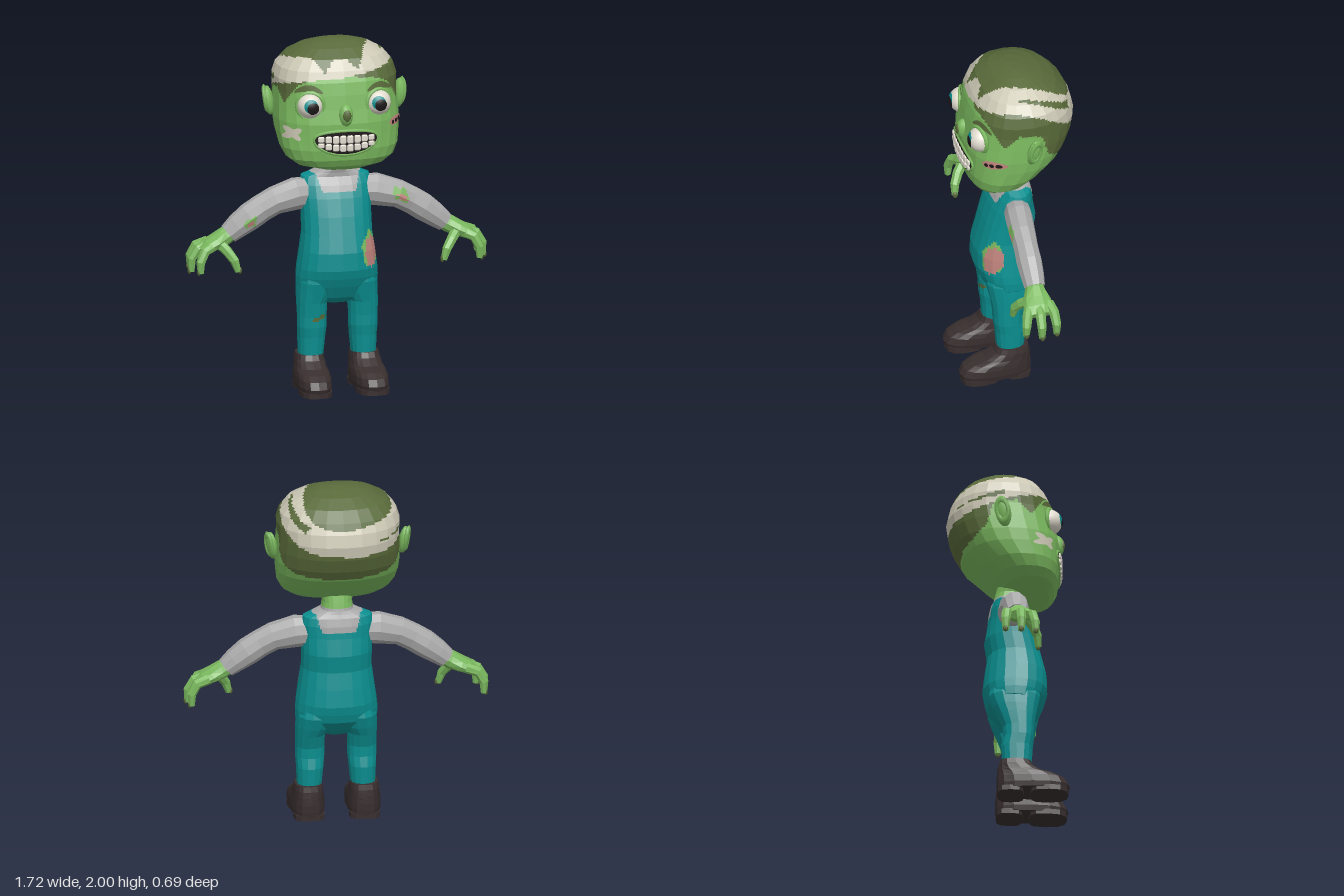
import * as THREE from 'three';
import { RoundedBoxGeometry } from 'three/addons/geometries/RoundedBoxGeometry.js';

const V = (x, y, z) => new THREE.Vector3(x, y, z);
const colours = {
  skin: 0x7ab85e, denim: 0x0b8f90, shirt: 0xa9a9aa, leather: 0x382e2e, hair: 0x596a3a,
  bandage: 0xcdc9b6, ivory: 0xe2ddd0, black: 0x1d1718, wound: 0xc0837c,
};

// Linear lookup in a table of [key, value, ...] rows with ascending keys
function lookup(table, key, col = 1) {
  let i = 0;
  while (i < table.length - 2 && key > table[i + 1][0]) i++;
  const [a, b] = [table[i], table[i + 1]];
  const f = THREE.MathUtils.clamp((key - a[0]) / (b[0] - a[0]), 0, 1);
  return a[col] + (b[col] - a[col]) * f;
}

// Horizontal ring with its own roundness at the front and at the back
function oval(y, hw, back, front, cx = 0, n = 20, ef = 2.4, eb = 2.2) {
  const pow = (v, e) => Math.sign(v) * Math.abs(v) ** (2 / e);
  return Array.from({ length: n }, (_, i) => {
    const a = i / n * Math.PI * 2, e = Math.sin(a) > 0 ? ef : eb;
    return V(cx + hw * pow(Math.cos(a), e), y,
      (front + back) / 2 + (front - back) / 2 * pow(Math.sin(a), e));
  });
}

// Rings along a limb; each row is x, y, z, radius along z, radius across
function limbRings(path, n) {
  const pts = path.map(p => V(p[0], p[1], p[2]));
  return pts.map((p, i) => {
    const t = pts[Math.min(i + 1, pts.length - 1)].clone().sub(pts[Math.max(i - 1, 0)]).normalize();
    const u = V(0, 0, 1).addScaledVector(t, -t.z).normalize();
    const v = u.clone().cross(t);
    return Array.from({ length: n }, (_, k) => {
      const a = k / n * Math.PI * 2;
      return p.clone().addScaledVector(u, Math.cos(a) * path[i][3])
        .addScaledVector(v, Math.sin(a) * path[i][4]);
    });
  });
}

// Faceted skin over rings; pick chooses the material index for each small face
function loft(name, source, mats, pick = () => 0, sub = 1) {
  const cap = r => {
    const c = r.reduce((s, p) => s.add(p), V(0, 0, 0)).divideScalar(r.length);
    return r.map(() => c.clone());
  };
  const rings = [cap(source[0]), ...source, cap(source[source.length - 1])];
  const n = rings[0].length, cols = n * sub, rows = (rings.length - 1) * sub;
  const verts = [], buckets = mats.map(() => []);
  for (let i = 0; i <= rows; i++) for (let j = 0; j < cols; j++) {
    const r = Math.min(Math.floor(i / sub), rings.length - 2), f = i / sub - r;
    const k = Math.floor(j / sub), g = j / sub - k, k2 = (k + 1) % n;
    const lower = rings[r][k].clone().lerp(rings[r][k2], g);
    verts.push(lower.lerp(rings[r + 1][k].clone().lerp(rings[r + 1][k2], g), f));
  }
  for (let i = 0; i < rows; i++) for (let j = 0; j < cols; j++) {
    const a = i * cols + j, b = i * cols + (j + 1) % cols, c = a + cols, d = b + cols;
    const mid = verts[a].clone().add(verts[d]).multiplyScalar(0.5);
    buckets[pick(mid)].push(a, c, b, b, c, d);
  }
  let geo = new THREE.BufferGeometry().setFromPoints(verts);
  geo.setIndex(buckets.flat());
  let start = 0;
  buckets.forEach((b, m) => { if (b.length) geo.addGroup(start, b.length, m); start += b.length; });
  geo = geo.toNonIndexed();
  geo.computeVertexNormals();
  const mesh = new THREE.Mesh(geo, mats.length > 1 ? mats : mats[0]);
  mesh.name = name;
  return mesh;
}

// Head rows: height, half width, back z, front z
const headRows = [
  [1.295, 0.12, 0.08, 0.23], [1.32, 0.25, -0.03, 0.258], [1.36, 0.305, -0.09, 0.28],
  [1.42, 0.335, -0.165, 0.29], [1.5, 0.348, -0.26, 0.29], [1.57, 0.353, -0.305, 0.29],
  [1.65, 0.35, -0.335, 0.275], [1.73, 0.345, -0.348, 0.262], [1.8, 0.348, -0.333, 0.247],
  [1.86, 0.33, -0.305, 0.222], [1.92, 0.28, -0.25, 0.18], [1.965, 0.2, -0.175, 0.112],
  [1.99, 0.12, -0.1, 0.05], [2.0, 0.04, -0.05, 0.0]];
const hairline = [[-0.35, 1.48], [-0.2, 1.54], [-0.13, 1.6], [-0.09, 1.73], [0.04, 1.75],
  [0.12, 1.67], [0.2, 1.8], [0.25, 1.84]];

function faceZ(x, y) {
  const [hw, zb, zf] = [1, 2, 3].map(c => lookup(headRows, y, c));
  const q = Math.min(Math.abs(x) / hw, 0.985);
  return (zf + zb) / 2 + (zf - zb) / 2 * (1 - q ** 2.6) ** (1 / 2.6);
}

// Tilted bandage with ragged edges over the hair: 0 skin, 1 hair, 2 bandage
function pickHead({ x, y, z }) {
  const level = y - 0.2 * z, arch = 1 - (z / 0.35) ** 2;
  const low = level - (x > 0 ? 0.3 * x * arch : 0.05 * x);
  const high = level - (x > 0 ? 0.5 * x * arch : -0.1 * x);
  const spike = Math.max(0, 1 - Math.abs(x + 0.11) / 0.06, 1 - Math.abs(x - 0.08) / 0.06);
  if (high > 1.882 - (z > 0.02 ? 0.085 * spike : 0)) return 1;
  if (low > 1.778 + 0.12 * Math.min(z, 0)) {
    const tearLeft = x > 0.08 && z > -0.28 && z < 0.12 && Math.abs(low - 1.855) < 0.05 * (0.12 - z);
    const tearRight = x < -0.05 && z < -0.02 && Math.abs(low - 1.815) < 0.05 * (z + 0.33);
    return tearLeft || tearRight ? 1 : 2;
  }
  return y > lookup(hairline, z) ? 1 : 0;
}

export function createModel() {
  const model = new THREE.Group();
  model.name = 'zombieFigure';
  const m = {};
  for (const [name, color] of Object.entries(colours)) {
    m[name] = new THREE.MeshStandardMaterial({ color });
    m[name].name = name;
  }
  const add = (parent, name, geo, mat, pos, scale = [1, 1, 1], rot = [0, 0, 0]) => {
    const mesh = new THREE.Mesh(geo, mat);
    mesh.name = name;
    mesh.position.set(...pos); mesh.scale.set(...scale); mesh.rotation.set(...rot);
    parent.add(mesh);
  };
  const inside = (x, y, cx, cy, rx, ry) => Math.hypot((x - cx) / rx, (y - cy) / ry);

  // Head
  const head = new THREE.Group();
  head.name = 'head';
  model.add(head);
  head.add(loft('skull', headRows.map(r => oval(...r, 0, 24, 2.6, 2.2)),
    [m.skin, m.hair, m.bandage], pickHead, 6));

  // Thin oval plate wrapped on the face
  const plate = (name, mat, cx, cy, rx, ry, rot = 0, bend = 0, off = 0.005) => {
    const geo = new THREE.RingGeometry(0.001, 1, 20, 4), p = geo.attributes.position;
    for (let i = 0; i < p.count; i++) {
      const u = p.getX(i) * rx, v = p.getY(i) * ry + bend * u * u;
      const x = cx + u * Math.cos(rot) - v * Math.sin(rot);
      const y = cy + u * Math.sin(rot) + v * Math.cos(rot);
      p.setXYZ(i, x * 1.01, y, faceZ(x, y) + off);
    }
    geo.computeVertexNormals();
    add(head, name, geo, mat, [0, 0, 0]);
  };

  // Mouth, lips and two rows of teeth
  const mouthBend = 0.6;
  plate('mouth', m.black, 0, 1.463, 0.178, 0.064, 0, mouthBend);
  const lip = Array.from({ length: 24 }, (_, i) => {
    const a = i / 24 * Math.PI * 2, x = 0.182 * Math.cos(a);
    const y = 1.463 + 0.069 * Math.sin(a) + mouthBend * x * x;
    return V(x, y, faceZ(x, y) - 0.002);
  });
  add(head, 'lips', new THREE.TubeGeometry(new THREE.CatmullRomCurve3(lip, true), 40, 0.01, 6, true),
    m.skin, [0, 0, 0]);
  const tooth = new RoundedBoxGeometry(1, 1, 1, 2, 0.25);
  for (const row of [1, -1]) for (let i = 0; i < 8; i++) {
    const x = (i - 3.5) * 0.041, h = (row > 0 ? 0.048 : 0.042) * (1 - 16 * x * x);
    const y = 1.458 + mouthBend * x * x + row * (h / 2 + 0.002);
    add(head, 'tooth', tooth, m.ivory, [x, y, faceZ(x, y) + 0.003], [0.037, h, 0.024], [0, x, 0]);
  }

  // Nose
  add(head, 'nose', new THREE.SphereGeometry(1, 10, 8), m.skin, [0, 1.618, 0.272], [0.042, 0.065, 0.044]);
  add(head, 'noseHollow', new THREE.SphereGeometry(1, 8, 6), m.hair, [0, 1.622, 0.306], [0.024, 0.034, 0.013]);

  // Eyes, brows and ears
  for (const s of [1, -1]) {
    const eye = new THREE.Group();
    eye.name = s > 0 ? 'leftEye' : 'rightEye';
    eye.position.set(s * 0.195, 1.675, 0.226);
    head.add(eye);
    const disc = (name, r, angle, mat, dx, dy) => add(eye, name,
      new THREE.SphereGeometry(r, 16, 5, 0, Math.PI * 2, 0, angle).rotateX(Math.PI / 2),
      mat, [0, 0, 0], [1, 1, 1], [-dy, dx, 0]);
    add(eye, 'eyeball', new THREE.SphereGeometry(0.073, 18, 14), m.ivory, [0, 0, 0]);
    disc('iris', 0.0742, 0.56, m.denim, -0.12, 0.14);
    disc('pupil', 0.0762, 0.47, m.black, 0.04, -0.05);
    add(eye, 'eyelid', new THREE.TorusGeometry(0.075, 0.013, 6, 18), m.skin, [0, 0, 0.008],
      [1, 1, 1], [0, s * 0.3, 0]);
    plate('eyebrow', m.hair, s * 0.2, 1.775, 0.075, 0.018, 0, -5);

    const ear = new THREE.Group();
    ear.name = s > 0 ? 'leftEar' : 'rightEar';
    ear.position.set(s * 0.374, 1.652, -0.035);
    ear.rotation.set(-0.12, s * 0.35, s * -0.12);
    head.add(ear);
    add(ear, 'earBody', new THREE.SphereGeometry(1, 8, 8), m.skin, [0, 0, 0], [0.028, 0.084, 0.045]);
    add(ear, 'earRim', new THREE.TorusGeometry(0.034, 0.012, 5, 12), m.skin, [s * 0.016, 0.012, 0],
      [1, 1.8, 1], [0, Math.PI / 2, 0]);
  }

  // Cheek wound and crossed plaster
  plate('cheekWound', m.wound, 0.3, 1.558, 0.043, 0.025, 0.15);
  for (const dx of [-0.022, 0.001, 0.023]) {
    plate('cheekWoundSpot', m.black, 0.302 + dx, 1.556 + dx * 0.15, 0.009, 0.012, 0, 0, 0.009);
  }
  for (const rot of [0.6, -0.75]) plate('cheekPlaster', m.bandage, -0.29, 1.515, 0.052, 0.019, rot);

  // Torso with neck, shirt collar and bib overalls
  const torsoRows = [[0.49, 0.07, 0.0, 0.09], [0.53, 0.18, -0.055, 0.145], [0.6, 0.232, -0.118, 0.183],
    [0.65, 0.233, -0.135, 0.205], [0.7, 0.228, -0.145, 0.22], [0.8, 0.214, -0.135, 0.217],
    [0.9, 0.2, -0.12, 0.192], [1.0, 0.2, -0.135, 0.167], [1.1, 0.203, -0.118, 0.135],
    [1.17, 0.205, -0.112, 0.105], [1.215, 0.195, -0.1, 0.078], [1.238, 0.135, -0.09, 0.08],
    [1.255, 0.092, -0.085, 0.085], [1.3, 0.085, -0.075, 0.085], [1.36, 0.1, -0.06, 0.1]];
  model.add(loft('torso', torsoRows.map(r => oval(...r)), [m.denim, m.shirt, m.skin, m.wound], ({ x, y, z }) => {
    if (y > 1.272) return 2;
    if (y > 1.236 || (y > 1.13 && Math.abs(x) < 0.095 + 0.28 * (y - 1.13))) return 1;
    if (z < 0.095) return 0;
    if (inside(x, y, 0.172, 0.795, 0.04, 0.082) < 1 + 0.08 * Math.sin(y * 90)) return 3;
    return inside(x, y, 0.165, 0.805, 0.05, 0.098) < 1 + 0.1 * Math.sin(y * 70) ? 2 : 0;
  }, 6));

  for (const s of [1, -1]) {
    const side = new THREE.Group();
    side.name = s > 0 ? 'leftLimbs' : 'rightLimbs';
    side.scale.x = s;
    model.add(side);

    // Trouser leg, with a worn knee on one side
    const legRows = [[0.18, 0.07, -0.035, 0.122, 0.152], [0.3, 0.078, -0.045, 0.13, 0.148],
      [0.36, 0.083, -0.032, 0.14, 0.147], [0.42, 0.083, -0.034, 0.142, 0.147], [0.5, 0.085, -0.065, 0.152, 0.146],
      [0.55, 0.1, -0.09, 0.163, 0.131], [0.62, 0.105, -0.115, 0.178, 0.122], [0.7, 0.09, -0.1, 0.17, 0.11]];
    side.add(loft('trouserLeg', legRows.map(r => oval(...r, 14)), [m.denim, m.hair], ({ x, y, z }) =>
      s < 0 && z > 0.05 && inside(x, y - 0.25 * (0.12 - x), 0.12, 0.415, 0.04, 0.012) < 1 ? 1 : 0, 5));

    // Boot with a separate heel and front sole
    const boot = new THREE.Group();
    boot.name = 'boot';
    boot.position.x = 0.157;
    boot.rotation.y = 0.03;
    side.add(boot);
    const bootRows = [[0.02, 0.092, -0.068, 0.335], [0.05, 0.098, -0.07, 0.343], [0.09, 0.097, -0.07, 0.322],
      [0.115, 0.093, -0.068, 0.275], [0.135, 0.088, -0.066, 0.2], [0.17, 0.084, -0.062, 0.145],
      [0.2, 0.077, -0.055, 0.128]];
    boot.add(loft('bootUpper', bootRows.map(r => oval(...r, 0, 16, 2.6, 2.8)), [m.leather]));
    boot.add(loft('heel', [0, 0.03].map(y => oval(y, 0.088, -0.066, 0.085, 0, 12, 3.5, 3)), [m.leather]));
    boot.add(loft('frontSole', [0, 0.03].map(y => oval(y, 0.092, 0.12, 0.336, 0, 12, 2.6, 3.5)), [m.leather]));

    // Sleeve, torn in one place on each arm
    const armPath = [[0.13, 1.12, 0.005, 0.07, 0.085], [0.23, 1.115, 0.015, 0.078, 0.093],
      [0.355, 1.085, 0.028, 0.075, 0.08], [0.43, 1.045, 0.03, 0.07, 0.079], [0.5, 1.0, 0.032, 0.073, 0.08],
      [0.57, 0.95, 0.033, 0.068, 0.07], [0.622, 0.908, 0.034, 0.06, 0.058]];
    const [tx, ty, size] = s > 0 ? [0.365, 1.09, 1] : [0.505, 0.98, 0.75];
    side.add(loft('sleeve', limbRings(armPath, 10), [m.shirt, m.skin, m.wound], ({ x, y, z }) => {
      if (z < 0.05) return 0;
      const along = ((x - tx) * 0.8 - (y - ty) * 0.6) / size, across = ((x - tx) * 0.6 + (y - ty) * 0.8) / size;
      if (inside(along, across, 0.01, -0.008, 0.034, 0.016) < 1) return 2;
      return inside(along, across, 0, 0, 0.052, 0.034) < 1 + 0.2 * Math.sin(x * 120) ? 1 : 0;
    }, 6));

    // Hand with three curled fingers, a thumb and dark nails
    side.add(loft('palm', limbRings([[0.6, 0.925, 0.034, 0.05, 0.048], [0.64, 0.9, 0.038, 0.058, 0.052],
      [0.695, 0.872, 0.042, 0.08, 0.046], [0.745, 0.85, 0.045, 0.085, 0.04],
      [0.785, 0.828, 0.046, 0.07, 0.028]], 10), [m.skin]));
    const digits = [
      ['finger', [0.73, 0.86, -0.015], [0.795, 0.838, -0.03], [0.826, 0.78, -0.036], [0.826, 0.714, -0.036]],
      ['finger', [0.73, 0.863, 0.045], [0.8, 0.838, 0.05], [0.836, 0.78, 0.052], [0.838, 0.708, 0.052]],
      ['finger', [0.72, 0.858, 0.09], [0.775, 0.833, 0.118], [0.802, 0.775, 0.132], [0.802, 0.714, 0.134]],
      ['thumb', [0.68, 0.865, 0.08], [0.645, 0.828, 0.12], [0.61, 0.778, 0.148], [0.592, 0.718, 0.153]]];
    for (const [name, ...pts] of digits) {
      const radii = [0.032, 0.029, 0.026, 0.018];
      side.add(loft(name, limbRings(pts.map((p, i) => [...p, radii[i], radii[i]]), 7), [m.skin]));
      const [x, y, z] = pts[3], out = name === 'thumb' ? -0.011 : 0.011;
      add(side, 'nail', new THREE.SphereGeometry(1, 7, 5), m.hair, [x + out, y + 0.006, z], [0.011, 0.021, 0.015]);
    }
  }
  return model;
}
